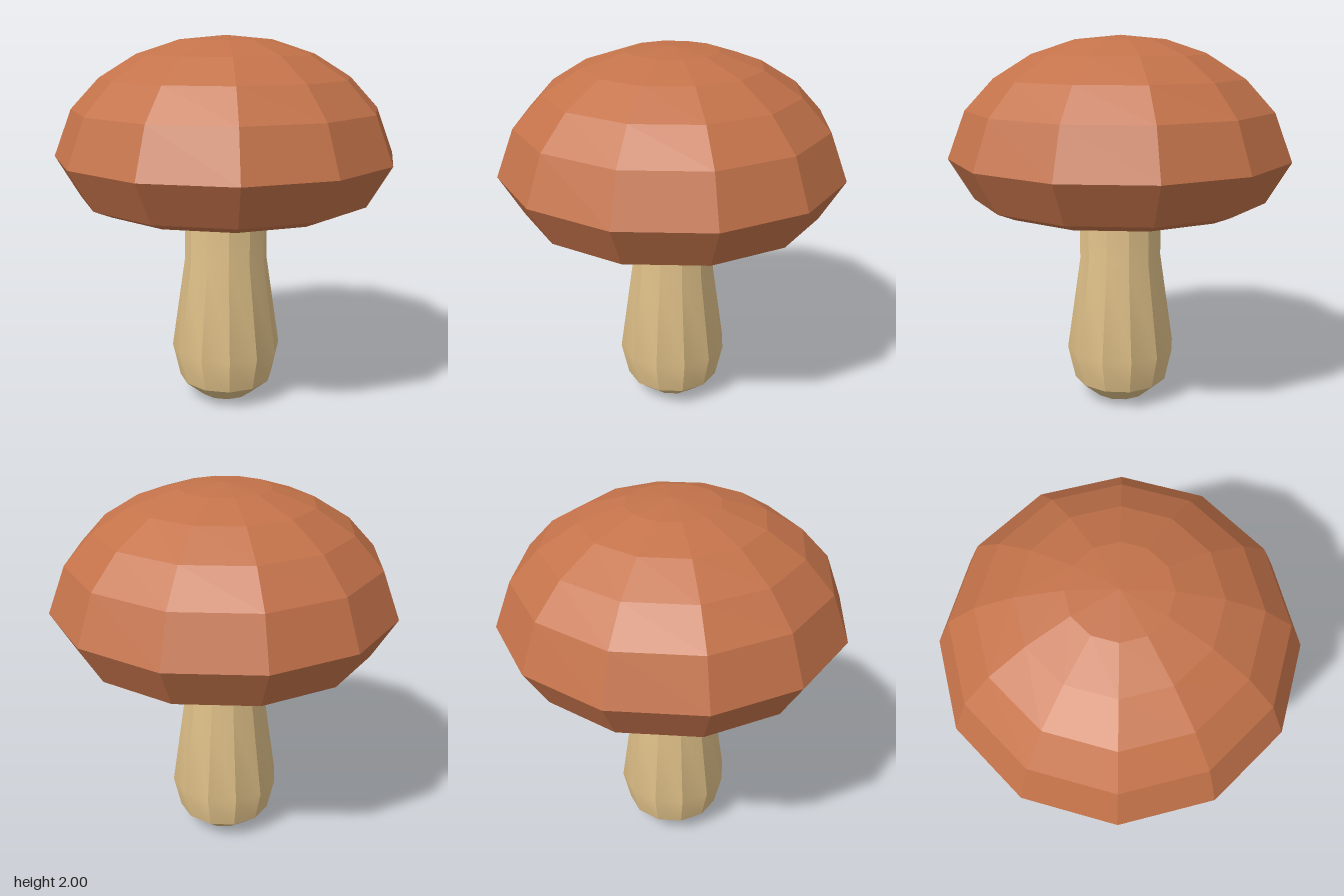
import * as THREE from 'three';
import { toCreasedNormals } from 'three/addons/utils/BufferGeometryUtils.js';

const SIDES = 12;

function material(name, color) {
  const m = new THREE.MeshStandardMaterial({ color });
  m.name = name;
  return m;
}

// Revolve a profile of [radius, height] pairs; edges sharper than the crease angle stay hard.
function turned(name, profile, mat, crease) {
  const points = profile.map(([r, y]) => new THREE.Vector2(r, y));
  const lathe = new THREE.LatheGeometry(points, SIDES);
  const mesh = new THREE.Mesh(toCreasedNormals(lathe, crease), mat);
  mesh.name = name;
  return mesh;
}

export function createModel() {
  const brown = material('cap brown', 0xc4734a);
  const cream = material('stem cream', 0xdfc088);
  const flat = 0.01;

  const model = new THREE.Group();
  model.name = 'mushroom';

  // Faceted dome with its rolled-under rim
  model.add(turned('cap', [
    [0.59, 1.11], [0.68, 1.122], [0.78, 1.165], [0.905, 1.38], [0.81, 1.625],
    [0.66, 1.785], [0.465, 1.905], [0.24, 1.978], [0, 2],
  ], brown, flat));

  // Hollow cone beneath the cap
  model.add(turned('underside', [[0, 1.38], [0.59, 1.11]], cream, flat));

  // Bulbous stem, softly shaded along its height
  model.add(turned('stem', [
    [0, 0], [0.15, 0.02], [0.26, 0.115], [0.3, 0.3], [0.225, 0.81], [0.225, 1.34],
  ], cream, 0.5));

  return model;
}
